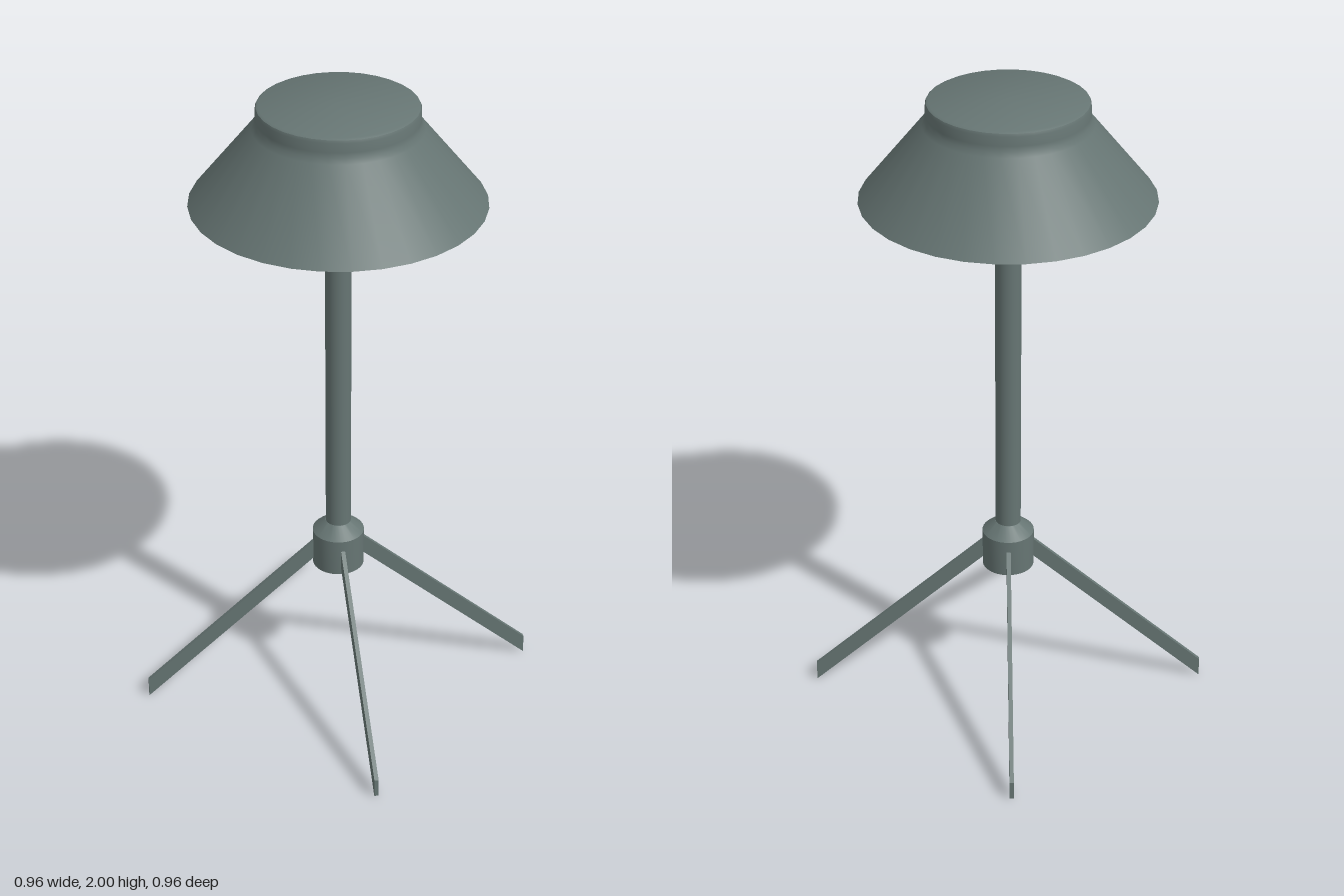
import * as THREE from 'three';
import { toCreasedNormals } from 'three/addons/utils/BufferGeometryUtils.js';

const material = new THREE.MeshStandardMaterial({ color: 0x667573 });

function addMesh(group, name, geometry) {
  const mesh = new THREE.Mesh(geometry, material);
  mesh.name = name;
  group.add(mesh);
  return mesh;
}

// Revolved profile of [radius, y] points, listed bottom to top on the outside
function turned(points, segments = 32) {
  const profile = points.map(([r, y]) => new THREE.Vector2(r, y));
  return toCreasedNormals(new THREE.LatheGeometry(profile, segments), 0.6);
}

export function createModel() {
  const lamp = new THREE.Group();
  lamp.name = 'floorLamp';

  // Hollow shade: inner ceiling and wall, rim, outer cone, collar and cap
  addMesh(lamp, 'shade', turned([
    [0, 1.985], [0.222, 1.985], [0.222, 1.94], [0.213, 1.925], [0.42, 1.7],
    [0.432, 1.7], [0.247, 1.93], [0.238, 1.945], [0.235, 1.96],
    [0.235, 1.988], [0.232, 1.996], [0.225, 2], [0, 2],
  ]));

  // Pole from the hub up to the shade ceiling
  const pole = addMesh(lamp, 'pole', new THREE.CylinderGeometry(0.039, 0.039, 1.435, 32));
  pole.position.y = 0.55 + 1.435 / 2;

  // Hub with chamfered shoulder
  addMesh(lamp, 'hub', turned([
    [0, 0.445], [0.08, 0.445], [0.08, 0.565], [0.04, 0.6], [0, 0.6],
  ]));

  // Four flat slanted legs with upright ends
  const thickness = 0.013;
  const outline = new THREE.Shape([
    [0.06, 0.485], [0.616, 0], [0.616, 0.06], [0.06, 0.547],
  ].map(([x, y]) => new THREE.Vector2(x, y)));
  const legGeometry = new THREE.ExtrudeGeometry(outline, { depth: thickness, bevelEnabled: false });
  legGeometry.translate(0, 0, -thickness / 2);
  for (let i = 0; i < 4; i++) {
    const leg = addMesh(lamp, 'leg' + (i + 1), legGeometry);
    leg.rotation.y = THREE.MathUtils.degToRad(-39.2) + i * Math.PI / 2;
  }

  return lamp;
}
